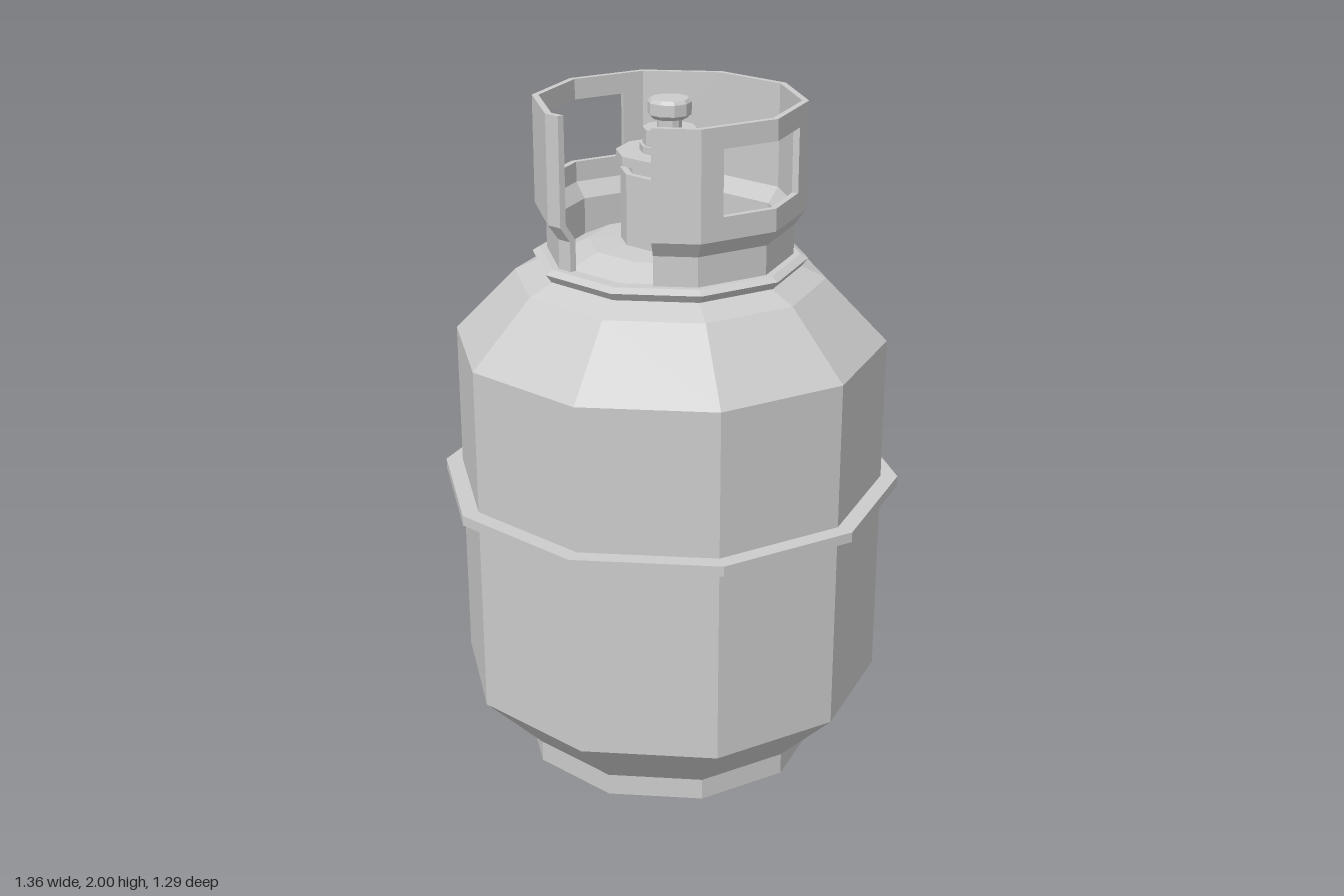
import * as THREE from 'three';

const SIDES = 10;
const RAD = Math.PI / 180;
const material = new THREE.MeshStandardMaterial({ color: 0xcccccc, flatShading: true });

// Ten-sided turned part with a corner on the +x axis; profile is [radius, y] upwards on the outside.
function turned(name, profile) {
  const points = profile.map(([r, y]) => new THREE.Vector2(r, y));
  const mesh = new THREE.Mesh(new THREE.LatheGeometry(points, SIDES, Math.PI / 2), material);
  mesh.name = name;
  return mesh;
}

// Point on a decagon of corner radius r, at an angle in degrees from +x towards +z.
function onDecagon(r, y, deg) {
  const offset = ((deg % 36) + 36) % 36 - 18;
  const d = r * Math.cos(18 * RAD) / Math.cos(offset * RAD);
  return [d * Math.cos(deg * RAD), y, d * Math.sin(deg * RAD)];
}

// Solid wall: a closed [radius, y] section swept round the decagon between two angles, capped at the ends.
function wall(name, section, from, to) {
  const angles = [from];
  for (let a = Math.floor(from / 36 + 1) * 36; a < to - 0.01; a += 36) angles.push(a);
  angles.push(to);
  const n = section.length;
  const positions = angles.flatMap(a => section.flatMap(([r, y]) => onDecagon(r, y, a)));
  const index = [];
  for (let i = 0; i < angles.length - 1; i++) {
    for (let j = 0; j < n; j++) {
      const k = (j + 1) % n;
      const a = i * n + j, b = i * n + k, c = a + n, d = b + n;
      index.push(a, b, c, b, d, c);
    }
  }
  const last = (angles.length - 1) * n;
  const outline = section.map(([r, y]) => new THREE.Vector2(r, y));
  for (const [a, b, c] of THREE.ShapeUtils.triangulateShape(outline, [])) {
    index.push(a, c, b, last + a, last + b, last + c);
  }
  const geometry = new THREE.BufferGeometry();
  geometry.setAttribute('position', new THREE.Float32BufferAttribute(positions, 3));
  geometry.setIndex(index);
  geometry.computeVertexNormals();
  const mesh = new THREE.Mesh(geometry, material);
  mesh.name = name;
  return mesh;
}

// Guard around the valve: flared wall with a front gap and two side windows.
function createGuard() {
  const guard = new THREE.Group();
  guard.name = 'valveGuard';
  const outer = [[0.355, 1.55], [0.355, 1.645], [0.387, 1.69]];
  const inner = [[0.368, 1.695], [0.336, 1.65], [0.336, 1.55]];
  const section = top => [...outer, [0.387, top], [0.368, top], ...inner];
  const lintel = [[0.387, 1.94], [0.387, 2], [0.368, 2], [0.368, 1.94]];
  const half = 25.7;

  guard.add(wall('guardFrontRight', section(2), 101, 180 - half));
  guard.add(wall('guardBack', section(2), 180 + half, 360 - half));
  guard.add(wall('guardFrontLeft', section(2), 360 + half, 360 + 56));
  for (const [side, middle] of [['Right', 180], ['Left', 360]]) {
    guard.add(wall('windowSill' + side, section(1.755), middle - half, middle + half));
    guard.add(wall('windowLintel' + side, lintel, middle - half, middle + half));
  }
  return guard;
}

export function createModel() {
  const model = new THREE.Group();
  model.name = 'gasCylinder';

  // Tank with sloping shoulders
  model.add(turned('tank', [
    [0, 0.05], [0.43, 0.065], [0.45, 0.065], [0.63, 0.25], [0.63, 1.305],
    [0.45, 1.49], [0.235, 1.59], [0, 1.605],
  ]));

  // Foot ring, open underneath
  model.add(turned('footRing', [
    [0.415, 0.065], [0.415, 0], [0.45, 0], [0.45, 0.067], [0.42, 0.067],
  ]));

  // Weld band round the middle
  model.add(turned('middleBand', [[0.62, 0.85], [0.68, 0.85], [0.68, 0.88], [0.62, 0.88]]));

  // Seat ring under the guard
  model.add(turned('guardSeat', [
    [0.36, 1.525], [0.38, 1.525], [0.397, 1.548], [0.375, 1.56], [0.336, 1.56], [0.336, 1.53],
  ]));

  model.add(createGuard());

  // Valve: body, flange, stem and hand knob
  const valve = new THREE.Group();
  valve.name = 'valve';
  valve.add(turned('valveBody', [[0.14, 1.58], [0.14, 1.8], [0.12, 1.8], [0.12, 1.825]]));
  valve.add(turned('valveFlange', [[0.11, 1.825], [0.152, 1.825], [0.152, 1.852], [0, 1.852]]));
  valve.add(turned('valveBonnet', [[0.085, 1.85], [0.085, 1.872], [0.076, 1.872], [0.076, 1.918], [0, 1.918]]));
  valve.add(turned('valveStem', [[0.035, 1.915], [0.035, 1.96]]));
  valve.add(turned('valveKnob', [
    [0, 1.945], [0.05, 1.945], [0.062, 1.957], [0.062, 1.99], [0.055, 2], [0, 2],
  ]));
  model.add(valve);

  return model;
}
